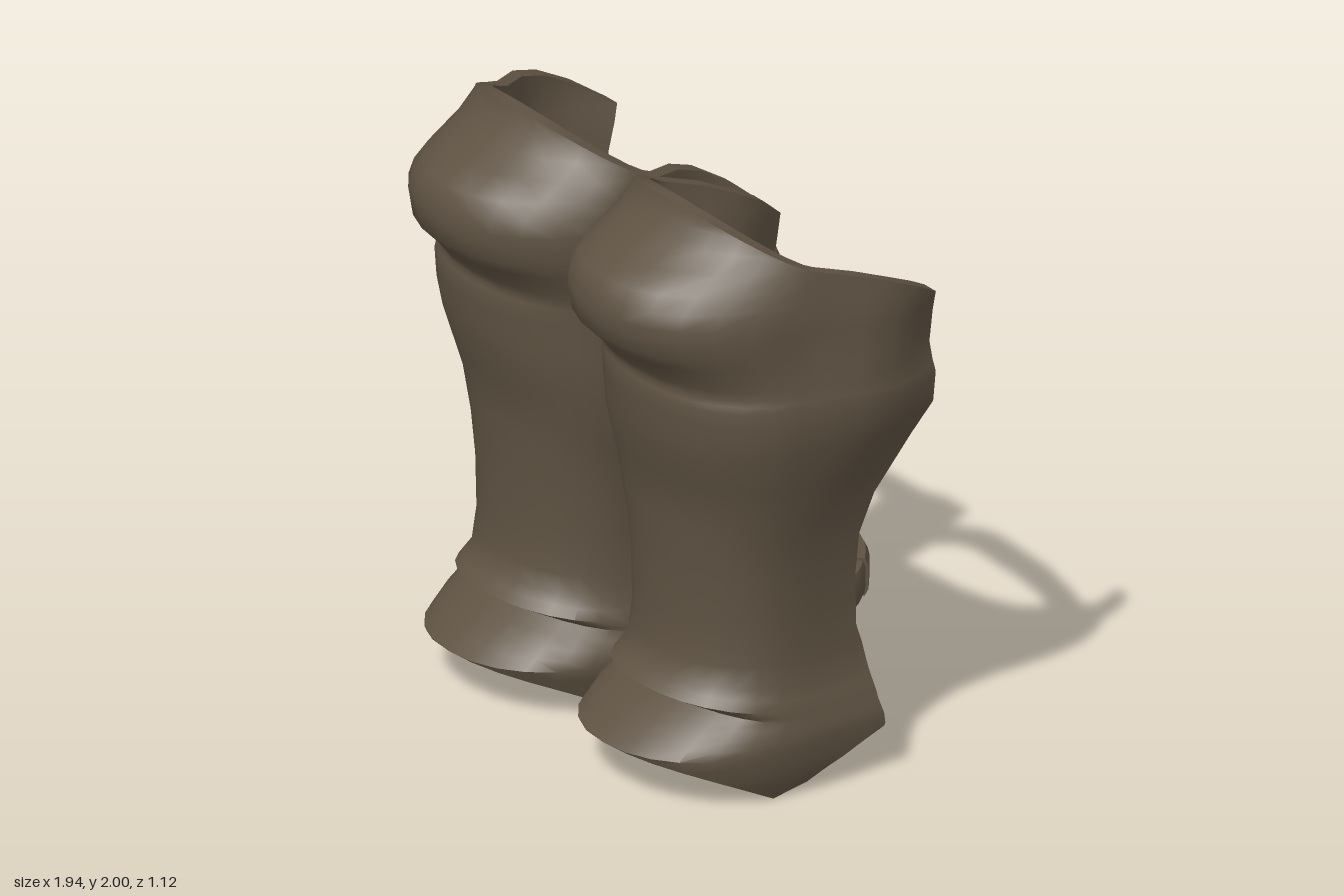
import * as THREE from 'three';
import { toCreasedNormals } from 'three/addons/utils/BufferGeometryUtils.js';

const { clamp, lerp, smoothstep } = THREE.MathUtils;

// Shell rows: y, inner x, outer x, front z, back z
const ROWS = [
  [0, 0.05, 0.77, 0.44, -0.15],
  [0.1, 0.02, 0.81, 0.48, -0.25],
  [0.18, 0, 0.82, 0.52, -0.28],
  [0.25, 0, 0.82, 0.43, -0.275],
  [0.32, 0.025, 0.81, 0.32, -0.265],
  [0.35, 0.03, 0.8, 0.385, -0.26],
  [0.4, 0.06, 0.77, 0.325, -0.25],
  [0.52, 0.07, 0.76, 0.305, -0.21],
  [0.7, 0.06, 0.77, 0.305, -0.2],
  [0.85, 0.04, 0.79, 0.315, -0.2],
  [1.0, 0, 0.83, 0.33, -0.23],
  [1.2, -0.02, 0.89, 0.385, -0.33],
  [1.3, -0.02, 0.91, 0.4, -0.4],
  [1.4, -0.02, 0.91, 0.41, -0.41],
  [1.44, -0.03, 0.9, 0.4, -0.405],
  [1.5, -0.03, 0.89, 0.44, -0.4],
  [1.6, -0.03, 0.88, 0.54, -0.42],
  [1.7, -0.03, 0.88, 0.56, -0.44],
  [1.8, -0.03, 0.87, 0.53, -0.44],
  [1.9, -0.02, 0.86, 0.42, -0.4],
  [2.0, 0, 0.84, 0.27, -0.3],
];
const SIDE = 4, ARC = 14, COLS = SIDE * 2 + ARC + 1;

function rowAt(y) {
  let i = 0;
  while (i < ROWS.length - 2 && y > ROWS[i + 1][0]) i++;
  const a = ROWS[i], b = ROWS[i + 1];
  const t = (y - a[0]) / (b[0] - a[0]);
  return a.map((v, j) => v + (b[j] - v) * t);
}

// Point on the U-shaped wall; the top and bottom edges follow their own curves
function shellPoint(col, rowY, inside) {
  const angle = clamp((col - SIDE) / ARC, 0, 1) * Math.PI;
  const s = Math.max(Math.sin(angle), 0), c = Math.cos(angle);
  const outer = col > COLS / 2;
  const k = Math.max(0, SIDE - col, col - SIDE - ARC) / SIDE;
  let top = 1.84 + 0.16 * Math.pow(s, 1.7), bottom;
  if (k > 0) {
    top -= (outer ? 0.18 : 0.22) * Math.pow(k, 1.6);
    bottom = 0.04 + 0.13 * k;
  } else {
    bottom = s < 0.25 ? 0.04 * (1 - s / 0.25) : 0.18 * Math.pow((s - 0.25) / 0.75, 0.8);
  }
  const y = clamp(rowY, bottom, top);
  const [, xi, xo, zf, zb] = rowAt(y);
  // the wall is thickest at mid height
  const inset = inside ? 0.04 + 0.04 * Math.sin(y * Math.PI / 2) : 0;
  const power = inside ? 1 : 0.9;
  const half = (xo - xi) / 2 - inset;
  let x = (xi + xo) / 2 - half * Math.sign(c) * Math.pow(Math.abs(c), power);
  // the knee wings bulge outwards behind the cup
  x += (outer ? 0.09 : 0.11) * smoothstep(y, 1, 1.7) * Math.sin(Math.PI * k);
  let z = zb * k;
  if (k === 0) {
    // the knee cup curls back to its rim
    const curl = smoothstep(y, top - 0.22, top + 0.03);
    z = lerp((zf - inset) * Math.pow(s, power), 0.27 * Math.pow(s, 1.3) - inset * s, curl);
  }
  // the ankle lip arches down towards the sides
  const drop = 0.07 * (1 - s) * Math.max(0, 1 - Math.abs(y - 0.33) / 0.15);
  return new THREE.Vector3(Math.max(x, 0.0005 + inset), y - drop, z);
}

// Joins closed rings into a solid and closes both ends
function loft(rings, flip) {
  const n = rings[0].length, pos = [], index = [];
  rings.forEach(r => r.forEach(p => pos.push(p.x, p.y, p.z)));
  const quad = (a, b, c, d) => flip ? index.push(a, c, b, a, d, c) : index.push(a, b, c, a, c, d);
  for (let r = 0; r < rings.length - 1; r++) {
    for (let i = 0; i < n; i++) {
      const j = (i + 1) % n;
      quad(r * n + i, r * n + j, (r + 1) * n + j, (r + 1) * n + i);
    }
  }
  const last = (rings.length - 1) * n;
  for (let i = 0; i < n / 2 - 1; i++) {
    quad(last + i, last + i + 1, last + n - 2 - i, last + n - 1 - i);
    quad(i + 1, i, n - 1 - i, n - 2 - i);
  }
  const g = new THREE.BufferGeometry();
  g.setAttribute('position', new THREE.Float32BufferAttribute(pos, 3));
  g.setIndex(index);
  return g;
}

// Shell of one leg, outer and inner skin in each ring, with a ring between rows
function shellGeometry(flip) {
  const heights = ROWS.flatMap(([y], i) => i ? [(y + ROWS[i - 1][0]) / 2, y] : [y]);
  const rings = heights.map(y => {
    const ring = [];
    for (let c = 0; c < COLS; c++) ring.push(shellPoint(c, y, false));
    for (let c = COLS - 1; c >= 0; c--) ring.push(shellPoint(c, y, true));
    return ring;
  });
  return loft(rings, flip);
}

// Level band with softened edges along a path of x, z points
function strapGeometry(y, points, height, thick, steps, flip) {
  const curve = new THREE.CatmullRomCurve3(points.map(([x, z]) => new THREE.Vector3(x, y, z)));
  const up = new THREE.Vector3(0, 1, 0);
  const rings = [];
  for (let i = 0; i <= steps; i++) {
    const p = curve.getPoint(i / steps);
    const side = curve.getTangent(i / steps).cross(up).normalize();
    const ring = [];
    for (let j = 0; j < 8; j++) {
      const a = (j + 0.5) * Math.PI / 4;
      const q = v => Math.sign(v) * Math.pow(Math.abs(v), 0.5) * 0.52;
      ring.push(p.clone().addScaledVector(side, q(Math.cos(a)) * thick)
        .addScaledVector(up, q(Math.sin(a)) * height));
    }
    rings.push(ring);
  }
  return loft(rings, !flip);
}

// Straps: name, y, path, height, thickness, steps
const STRAPS = [
  ['upperStrap', 1.345, [[0.04, -0.36], [0.045, -0.45], [0.14, -0.53], [0.3, -0.532],
    [0.48, -0.52], [0.7, -0.465], [0.83, -0.42], [0.88, -0.34]], 0.12, 0.05, 24],
  ['lowerStrap', 0.61, [[0.1, -0.1], [0.13, -0.25], [0.165, -0.37], [0.24, -0.405],
    [0.48, -0.4], [0.62, -0.32], [0.71, -0.22], [0.738, -0.1]], 0.115, 0.05, 26],
  ['strapOverlap', 0.61, [[0.48, -0.4], [0.56, -0.365], [0.64, -0.305]], 0.13, 0.065, 5],
];

export function createModel() {
  const leather = new THREE.MeshStandardMaterial({ color: 0x5e5242 });
  leather.name = 'dark brown leather';
  const model = new THREE.Group();
  model.name = 'legGuards';

  for (const side of [1, -1]) {
    const leg = new THREE.Group();
    leg.name = side > 0 ? 'leftLegGuard' : 'rightLegGuard';
    const add = (name, geometry) => {
      geometry.scale(side, 1, 1);
      const mesh = new THREE.Mesh(toCreasedNormals(geometry, 0.95), leather);
      mesh.name = name;
      leg.add(mesh);
    };
    const flip = side < 0;
    add('shinShell', shellGeometry(flip));
    for (const [name, y, path, height, thick, steps] of STRAPS) {
      add(name, strapGeometry(y, path, height, thick, steps, flip));
    }
    model.add(leg);
  }
  return model;
}
